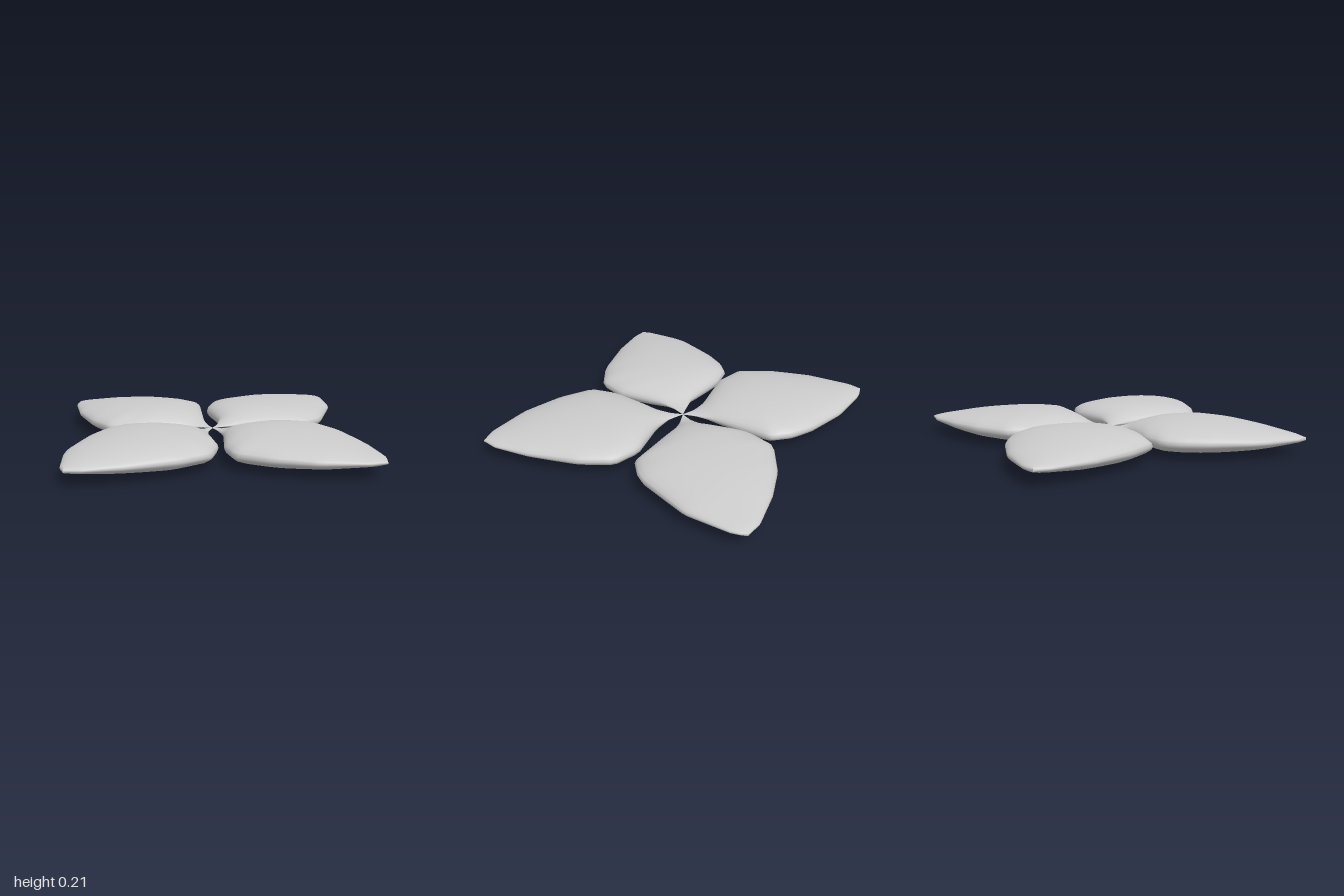
import * as THREE from 'three';

const STATIONS = 48, SIDES = 28, MID_Y = 0.105;

// Half thickness against s = |x| + |z|, from the thin neck to the tip
const thickness = new THREE.SplineCurve([
  [0, 0.004], [0.1, 0.008], [0.2, 0.025], [0.35, 0.065], [0.55, 0.095], [0.8, 0.105],
  [1.1, 0.098], [1.4, 0.077], [1.7, 0.043], [1.85, 0.023], [1.93, 0.006],
].map(p => new THREE.Vector2(...p))).getPoints(80).map(p => [p.x, p.y]);

// Linear lookup in a list of [key, value] sorted by key
function lookup(list, key) {
  let i = 1;
  while (i < list.length - 1 && list[i][0] < key) i++;
  const [k0, v0] = list[i - 1], [k1, v1] = list[i];
  return v0 + (v1 - v0) * THREE.MathUtils.clamp((key - k0) / (k1 - k0), 0, 1);
}

// Each petal: quadrant signs, shared tip and its two edges as [|x|, |z|]
const petals = [
  { name: 'backLeftPetal', sx: 1, sz: -1, tip: [0.94, 0.985],
    xEdge: [[0.11, 0.04], [0.21, 0.058], [0.67, 0.037], [0.78, 0.13], [0.82, 0.19], [0.96, 0.57], [0.975, 0.88], [0.96, 0.95]],
    zEdge: [[0.04, 0.09], [0.065, 0.21], [0.005, 0.545], [0.06, 0.73], [0.3, 0.87], [0.545, 0.95], [0.82, 1]] },
  { name: 'backRightPetal', sx: -1, sz: -1, tip: [0.97, 0.945],
    xEdge: [[0.095, 0.04], [0.2, 0.053], [0.53, 0], [0.725, 0.05], [0.85, 0.25], [0.95, 0.54], [0.99, 0.84]],
    zEdge: [[0.025, 0.09], [0.04, 0.205], [0.03, 0.67], [0.13, 0.78], [0.275, 0.86], [0.565, 0.95], [0.855, 0.97], [0.91, 0.963]] },
  { name: 'frontRightPetal', sx: -1, sz: 1, tip: [0.96, 0.955],
    xEdge: [[0.08, 0.02], [0.2, 0.048], [0.525, 0.005], [0.69, 0.03], [0.77, 0.105], [0.857, 0.25], [0.97, 0.535], [0.985, 0.64], [0.985, 0.88]],
    zEdge: [[0.037, 0.1], [0.05, 0.21], [0.01, 0.535], [0.07, 0.73], [0.265, 0.847], [0.6, 0.937], [0.85, 0.968]] },
  { name: 'frontLeftPetal', sx: 1, sz: 1, tip: [0.963, 0.967],
    xEdge: [[0.11, 0.048], [0.245, 0.063], [0.545, 0.01], [0.735, 0.07], [0.85, 0.27], [0.95, 0.61], [0.985, 0.857]],
    zEdge: [[0.03, 0.09], [0.055, 0.21], [0.02, 0.55], [0.06, 0.74], [0.265, 0.868], [0.545, 0.968], [0.85, 0.995]] },
];

// Elliptical cross-sections lofted along the diagonal, spanning the two edges
function petalGeometry({ sx, sz, tip, xEdge, zEdge }) {
  const toDiagonal = edge => [[0, 0], ...edge, tip].map(([x, z]) => [x + z, x - z]);
  const outer = toDiagonal(xEdge), inner = toDiagonal(zEdge);
  const length = tip[0] + tip[1];
  const positions = [], index = [];
  for (let i = 0; i <= STATIONS; i++) {
    const s = length * (1 - Math.cos(Math.PI * i / STATIONS)) / 2;
    const a = lookup(outer, s), b = lookup(inner, s);
    const h = lookup(thickness, s);
    for (let j = 0; j < SIDES; j++) {
      const angle = 2 * Math.PI * j / SIDES;
      const w = (a + b) / 2 + (a - b) / 2 * Math.cos(angle);
      positions.push(sx * (s + w) / 2, MID_Y + h * Math.sin(angle), sz * (s - w) / 2);
      if (i === STATIONS) continue;
      const p = i * SIDES + j, q = i * SIDES + (j + 1) % SIDES;
      const r = p + SIDES, t = q + SIDES;
      if (sx * sz > 0) index.push(p, q, r, q, t, r);
      else index.push(p, r, q, q, r, t);
    }
  }
  const geometry = new THREE.BufferGeometry();
  geometry.setAttribute('position', new THREE.Float32BufferAttribute(positions, 3));
  geometry.setIndex(index);
  geometry.computeVertexNormals();
  return geometry;
}

export function createModel() {
  const group = new THREE.Group();
  group.name = 'flower';
  const material = new THREE.MeshStandardMaterial({ color: 0xcccccc });
  for (const petal of petals) {
    const mesh = new THREE.Mesh(petalGeometry(petal), material);
    mesh.name = petal.name;
    group.add(mesh);
  }
  return group;
}
